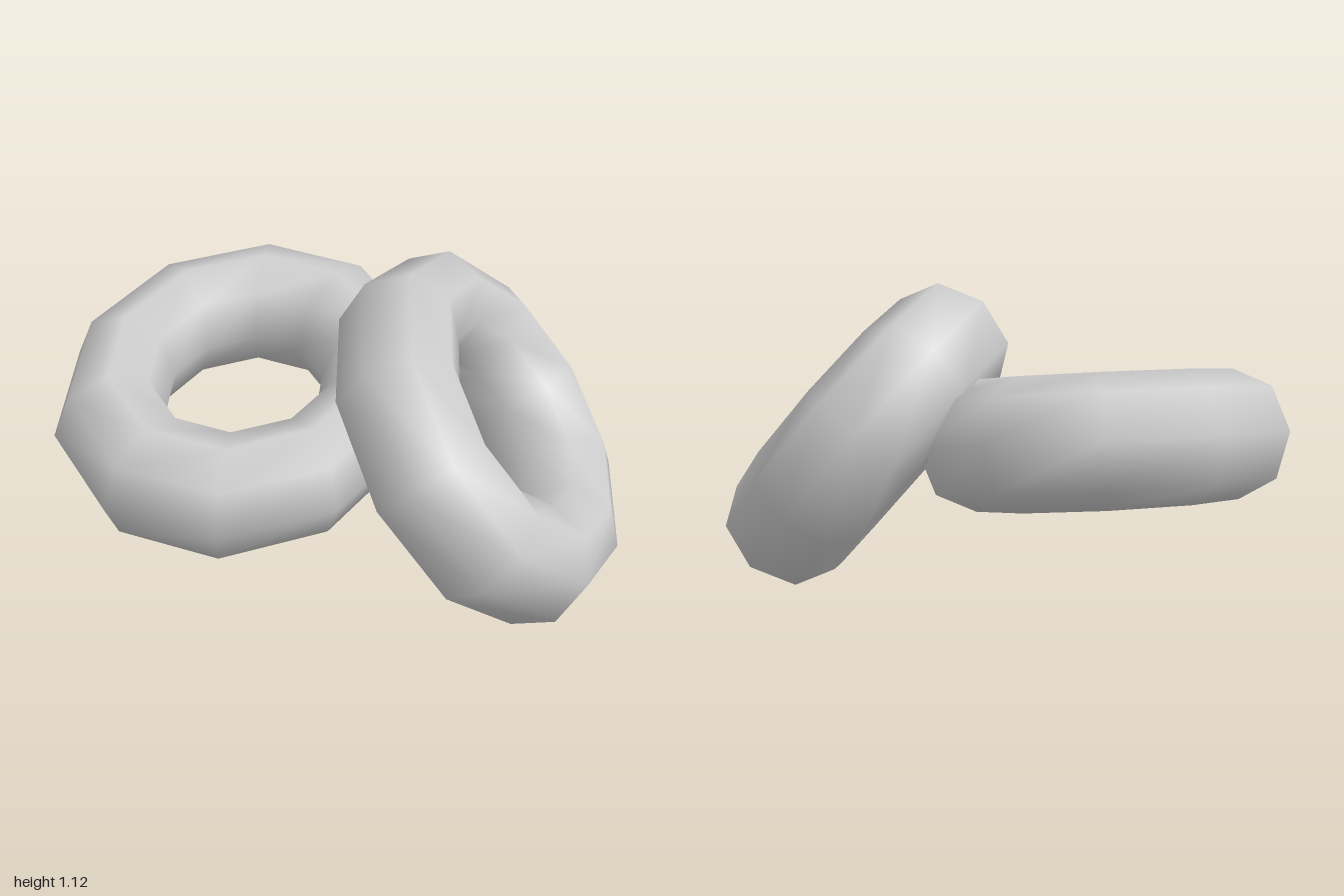
import * as THREE from 'three';

// One oval ring, slightly skewed: its short and long half-axes and its thickness direction give its shape and tilt
function makeRing(name, center, short, long, thickness, material) {
  const geometry = new THREE.TorusGeometry(0.71, 0.29, 8, 10);
  const axes = [short, long, thickness].map((v) => new THREE.Vector3(...v));
  geometry.applyMatrix4(new THREE.Matrix4().makeBasis(...axes));
  const ring = new THREE.Mesh(geometry, material);
  ring.name = name;
  ring.position.set(...center);
  return ring;
}

export function createModel() {
  const group = new THREE.Group();
  group.name = 'ringPair';
  const material = new THREE.MeshStandardMaterial({ color: 0xcccccc });

  // Ring lying nearly flat, tipped a little to the front and left
  group.add(makeRing('lyingRing', [-0.375, 0.595, 0.05],
    [-0.63, 0.065, 0.09], [0.04, -0.135, 0.72], [0.1, 0.75, 0.135], material));
  // Ring leaning against it
  group.add(makeRing('leaningRing', [0.467, 0.567, -0.1],
    [-0.43, 0.503, 0.03], [0.16, 0, 0.69], [0.585, 0.49, -0.14], material));
  return group;
}
